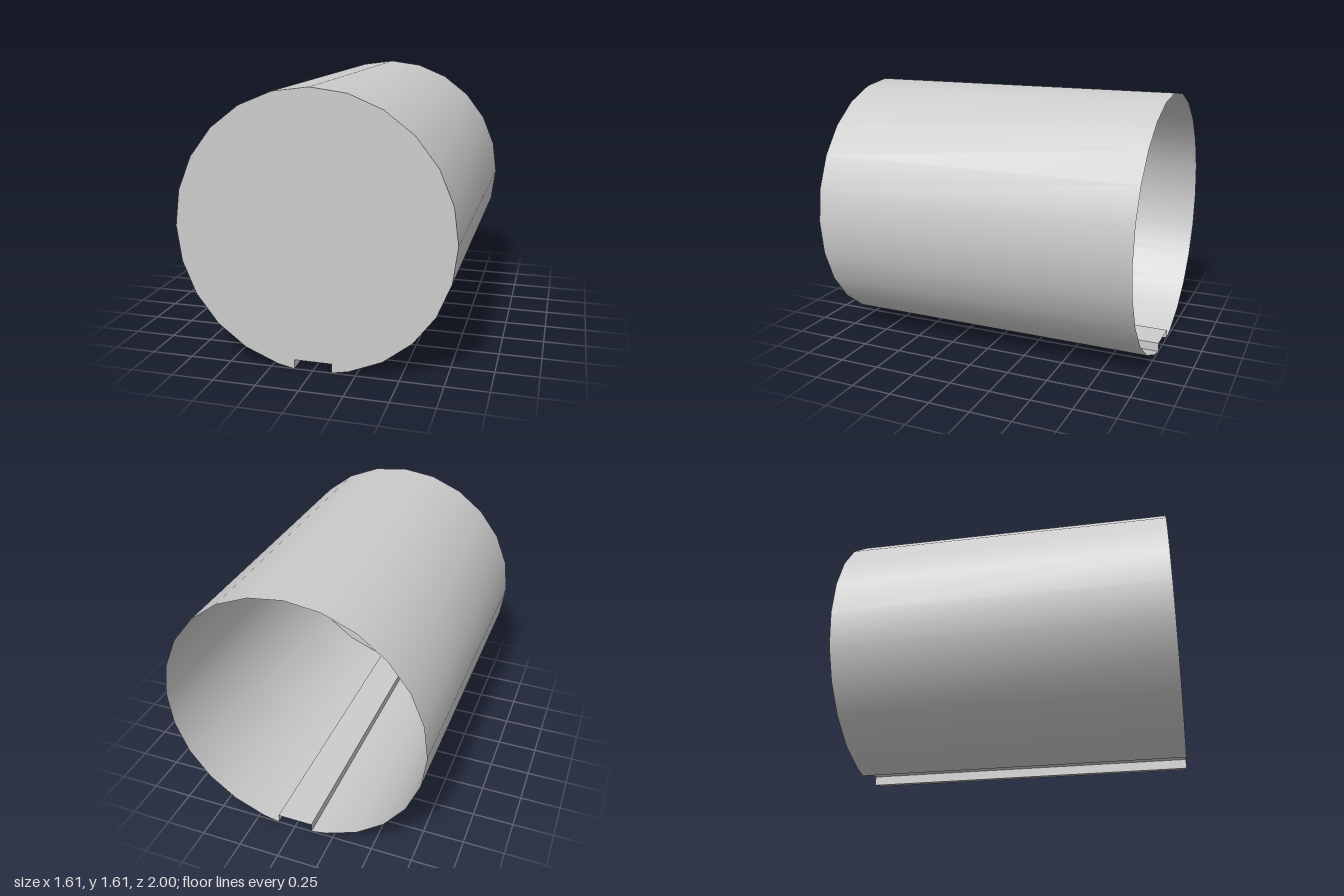
import * as THREE from 'three';
import { toCreasedNormals } from 'three/addons/utils/BufferGeometryUtils.js';

const R = 0.807, CY = 0.7995, HALF_LENGTH = 1;
const NOTCH_HALF = 0.11, NOTCH_TOP = 0.055;

// Round 24-sided section with a keyway slot at the bottom, counter-clockwise
function sectionPoints() {
  const pts = [new THREE.Vector2(NOTCH_HALF, 0)];
  for (let deg = -75; deg <= 255; deg += 15) {
    const a = THREE.MathUtils.degToRad(deg);
    pts.push(new THREE.Vector2(R * Math.cos(a), CY + R * Math.sin(a)));
  }
  pts.push(
    new THREE.Vector2(-NOTCH_HALF, 0),
    new THREE.Vector2(-NOTCH_HALF, NOTCH_TOP),
    new THREE.Vector2(NOTCH_HALF, NOTCH_TOP)
  );
  return pts;
}

// Open wall swept along z, smooth round the barrel and sharp at the slot
function wallGeometry(pts) {
  const pos = [], index = [], n = pts.length;
  for (const p of pts) pos.push(p.x, p.y, HALF_LENGTH, p.x, p.y, -HALF_LENGTH);
  for (let i = 0; i < n; i++) {
    const a = 2 * i, b = 2 * ((i + 1) % n);
    index.push(a, a + 1, b + 1, a, b + 1, b);
  }
  const geo = new THREE.BufferGeometry();
  geo.setAttribute('position', new THREE.Float32BufferAttribute(pos, 3));
  geo.setIndex(index);
  return toCreasedNormals(geo, 0.6);
}

export function createModel() {
  const group = new THREE.Group();
  group.name = 'slottedBarrel';
  const material = new THREE.MeshStandardMaterial({ color: 0xcccccc, side: THREE.DoubleSide });
  const pts = sectionPoints();

  // Barrel wall with keyway, open at the back
  const wall = new THREE.Mesh(wallGeometry(pts), material);
  wall.name = 'barrelWall';
  group.add(wall);

  // Flat front cap
  const cap = new THREE.Mesh(new THREE.ShapeGeometry(new THREE.Shape(pts)), material);
  cap.name = 'frontCap';
  cap.position.z = HALF_LENGTH;
  group.add(cap);

  return group;
}
